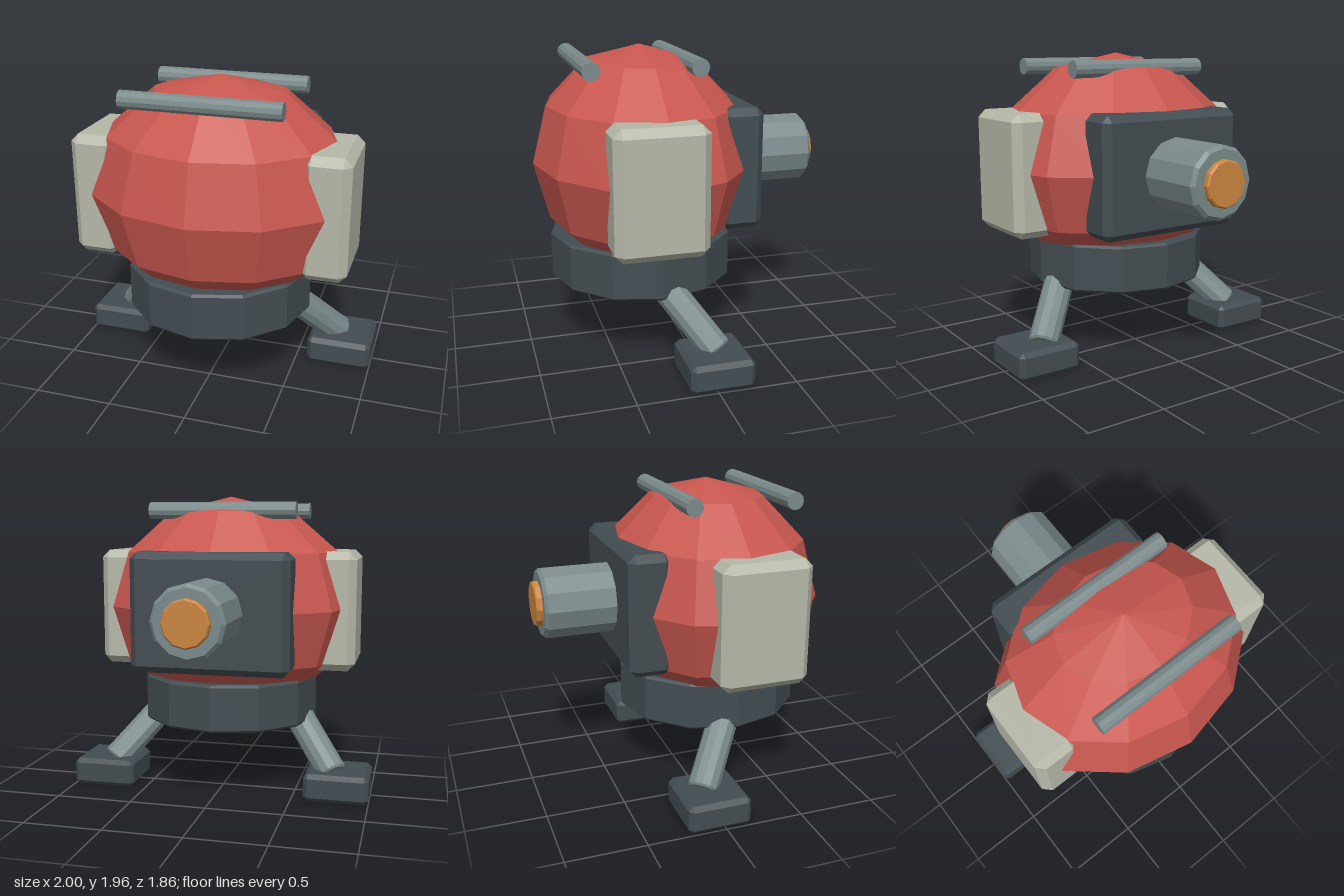
import * as THREE from 'three';
import { ConvexGeometry } from 'three/addons/geometries/ConvexGeometry.js';

const paint = (name, color) => {
  const m = new THREE.MeshStandardMaterial({ color, flatShading: true });
  m.name = name;
  return m;
};

// Box with bevelled edges: three shifted face rectangles per corner
function bevelBox(w, h, d, c) {
  const pts = [];
  for (const sx of [-1, 1]) for (const sy of [-1, 1]) for (const sz of [-1, 1]) {
    const x = w / 2, y = h / 2, z = d / 2;
    pts.push(
      new THREE.Vector3(sx * x, sy * (y - c), sz * (z - c)),
      new THREE.Vector3(sx * (x - c), sy * y, sz * (z - c)),
      new THREE.Vector3(sx * (x - c), sy * (y - c), sz * z)
    );
  }
  return new ConvexGeometry(pts);
}

// Twelve-sided cylinder along y with bevelled rims
function bevelCylinder(r, h, c) {
  const profile = [[0, -h / 2], [r - c, -h / 2], [r, -h / 2 + c], [r, h / 2 - c], [r - c, h / 2], [0, h / 2]];
  return new THREE.LatheGeometry(profile.map(([x, y]) => new THREE.Vector2(x, y)), 12);
}

export function createModel() {
  const model = new THREE.Group();
  model.name = 'pod';
  const red = paint('red shell', 0xc8574f);
  const dark = paint('dark slate', 0x434d52);
  const steel = paint('steel grey', 0x7b8a8b);
  const cream = paint('pale panel', 0xb6b9a9);
  const orange = paint('orange glow', 0xcc8540);

  const add = (name, geometry, material, x, y, z) => {
    const mesh = new THREE.Mesh(geometry, material);
    mesh.name = name;
    mesh.position.set(x, y, z);
    model.add(mesh);
    return mesh;
  };

  // Faceted body sitting in a round base
  const shell = new THREE.SphereGeometry(1, 12, 6);
  shell.scale(0.85, 0.735, 0.7);
  add('body', shell, red, 0, 1.225, 0.23);
  add('base', bevelCylinder(0.6, 0.31, 0.015), dark, 0, 0.605, 0.235);

  // Back pack, nozzle and its glowing disc
  add('backPack', bevelBox(1.03, 0.77, 0.27, 0.045), dark, 0, 1.222, -0.305);
  add('nozzle', bevelCylinder(0.228, 0.5, 0.022), steel, 0, 1.225, -0.64).rotation.x = Math.PI / 2;
  add('nozzleDisc', bevelCylinder(0.146, 0.06, 0.01), orange, 0, 1.225, -0.9).rotation.x = Math.PI / 2;

  // Rails across the top
  for (const [name, z] of [['frontRail', 0.625], ['backRail', -0.03]]) {
    const rail = new THREE.CylinderGeometry(0.056, 0.056, 0.98, 12);
    add(name, rail, steel, 0, 1.865, z).rotation.z = Math.PI / 2;
  }

  // Side panels, legs and feet, mirrored
  for (const [side, s] of [['left', 1], ['right', -1]]) {
    add(side + 'Panel', bevelBox(0.29, 0.785, 0.57, 0.05), cream, s * 0.73, 1.207, 0.295);
    add(side + 'Foot', bevelBox(0.42, 0.18, 0.405, 0.028), dark, s * 0.79, 0.09, -0.035);

    const top = new THREE.Vector3(s * 0.43, 0.55, 0.23);
    const bottom = new THREE.Vector3(s * 0.757, 0.15, -0.067);
    const axis = top.clone().sub(bottom);
    const mid = top.clone().add(bottom).multiplyScalar(0.5);
    const leg = add(side + 'Leg', bevelCylinder(0.098, axis.length(), 0.012), steel, mid.x, mid.y, mid.z);
    leg.quaternion.setFromUnitVectors(new THREE.Vector3(0, 1, 0), axis.normalize());
  }
  return model;
}
